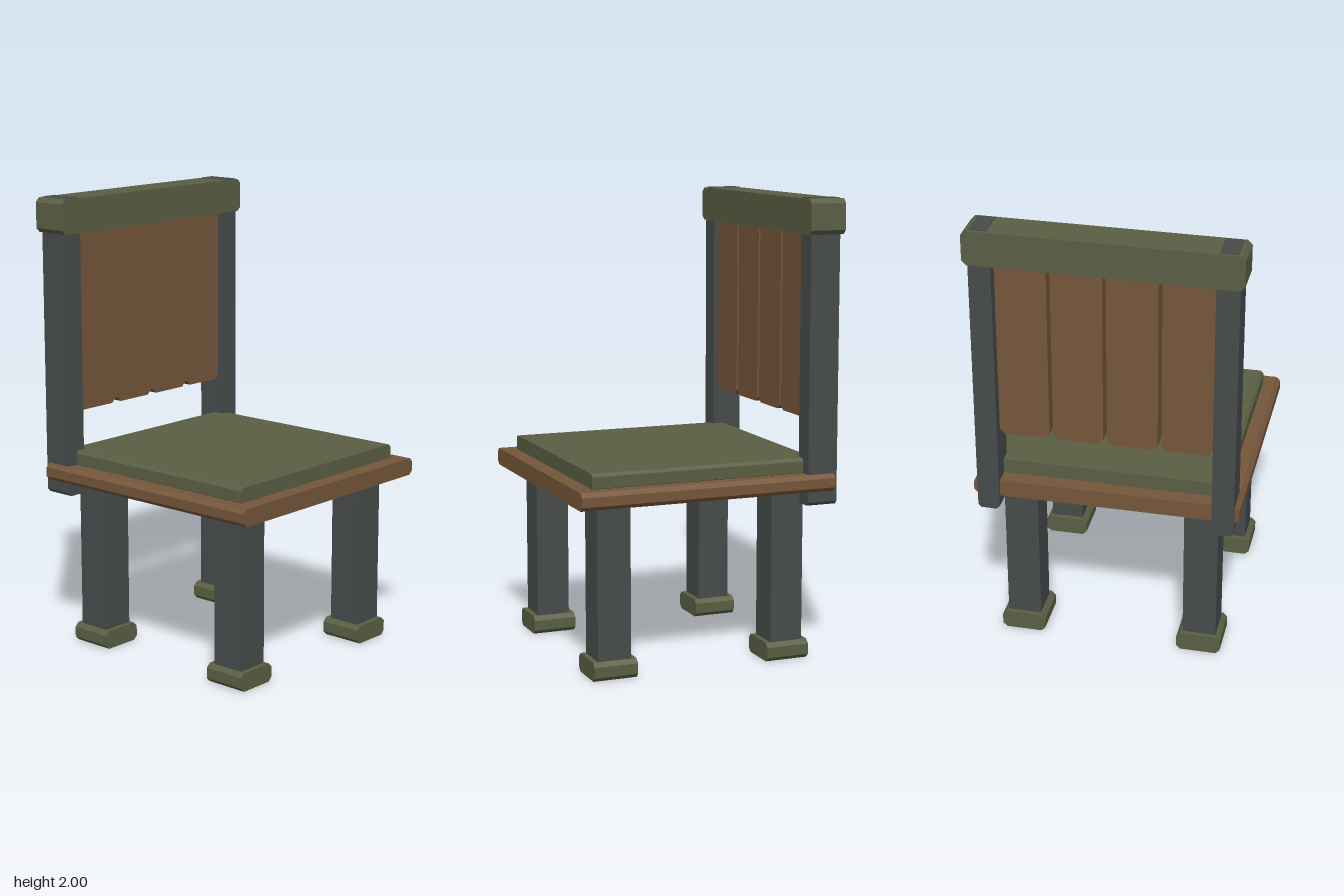
import * as THREE from 'three';

const paint = (color) => new THREE.MeshStandardMaterial({ color, flatShading: true });

export function createModel() {
  const chair = new THREE.Group();
  chair.name = 'chair';
  const wood = paint(0x75563a);
  const green = paint(0x5a5e43);
  const steel = paint(0x464c4b);

  // Plank with its four long edges (running along z) bevelled
  function plank(name, material, [x0, x1], [y0, y1], [z0, z1], c) {
    const shape = new THREE.Shape([
      [x0 + c, y0], [x1 - c, y0], [x1, y0 + c], [x1, y1 - c],
      [x1 - c, y1], [x0 + c, y1], [x0, y1 - c], [x0, y0 + c],
    ].map(([x, y]) => new THREE.Vector2(x, y)));
    const geometry = new THREE.ExtrudeGeometry(shape, { depth: z1 - z0, bevelEnabled: false });
    geometry.translate(0, 0, z0);
    const mesh = new THREE.Mesh(geometry, material);
    mesh.name = name;
    chair.add(mesh);
  }

  // Seat board and cushion
  plank('seat', wood, [-0.575, 0.575], [0.75, 0.826], [-0.56, 0.59], 0.018);
  plank('cushion', green, [-0.505, 0.505], [0.815, 0.89], [-0.49, 0.52], 0.013);

  // Top rail of the backrest
  plank('topRail', green, [-0.575, 0.575], [1.846, 1.996], [-0.59, -0.43], 0.019);

  // Backrest slats
  for (let i = 0; i < 4; i++) {
    const x = -0.455 + i * 0.2305;
    plank('backSlat', wood, [x, x + 0.215], [1.06, 1.92], [-0.555, -0.46], 0.02);
  }

  for (const side of [-1, 1]) {
    const span = (a, b) => (side > 0 ? [a, b] : [-b, -a]);
    // Backrest post
    plank('backPost', steel, span(0.46, 0.555), [0.69, 2], [-0.575, -0.44], 0.014);

    // Legs with feet, front and back
    for (const z of [0.413, -0.382]) {
      const leg = new THREE.Mesh(new THREE.BoxGeometry(0.148, 0.73, 0.148), steel);
      leg.name = z > 0 ? 'frontLeg' : 'backLeg';
      leg.position.set(side * 0.397, 0.405, z);
      chair.add(leg);
      plank(z > 0 ? 'frontFoot' : 'backFoot', green,
        span(0.299, 0.494), [0, 0.082], [z - 0.097, z + 0.097], 0.018);
    }
  }
  return chair;
}
